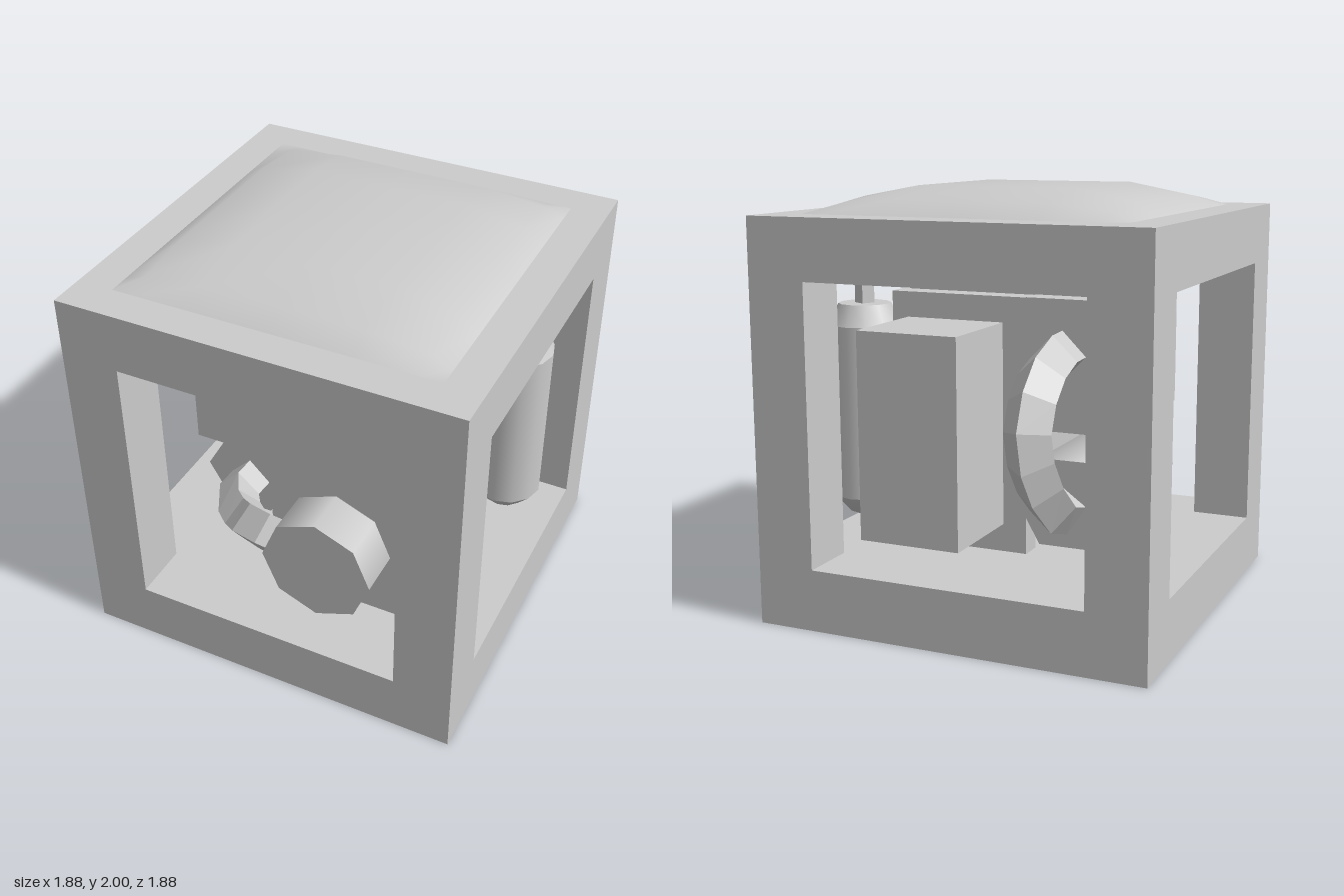
import * as THREE from 'three';

export function createModel() {
  const model = new THREE.Group();
  const smooth = new THREE.MeshStandardMaterial({ color: 0xcccccc });
  const flat = new THREE.MeshStandardMaterial({ color: 0xcccccc, flatShading: true });

  const add = (name, geometry, material = smooth, parent = model) => {
    const mesh = new THREE.Mesh(geometry, material);
    mesh.name = name;
    parent.add(mesh);
    return mesh;
  };

  // box given by its extents along each axis
  const box = (name, [x0, x1], [y0, y1], [z0, z1], parent = model) => {
    const g = new THREE.BoxGeometry(x1 - x0, y1 - y0, z1 - z0);
    g.translate((x0 + x1) / 2, (y0 + y1) / 2, (z0 + z1) / 2);
    return add(name, g, smooth, parent);
  };

  // drum lying along z
  const drum = (name, r, sides, x, y, z0, z1, turn) => {
    const g = new THREE.CylinderGeometry(r, r, z1 - z0, sides, 1, false, turn);
    g.rotateX(Math.PI / 2).translate(x, y, (z0 + z1) / 2);
    return add(name, g);
  };

  // four-sided hose through a few points
  const hose = (name, points, r, segments) => {
    const curve = new THREE.CatmullRomCurve3(points.map(p => new THREE.Vector3(...p)));
    return add(name, new THREE.TubeGeometry(curve, segments, r, 4), flat);
  };

  // open cubic frame: floor, ceiling and four square posts
  const frame = new THREE.Group();
  frame.name = 'frame';
  model.add(frame);
  const R = 0.94, W = 0.66;
  box('floor', [-R, R], [0, 0.29], [-R, R], frame);
  box('ceiling', [-R, R], [1.6, 1.88], [-R, R], frame);
  for (const x of [[-R, -W], [W, R]])
    for (const z of [[-R, -W], [W, R]]) box('post', x, [0.29, 1.6], z, frame);

  // pillow-shaped lid: the same rise profile along x and z
  const spots = [-0.765, -0.66, -0.38, 0, 0.38, 0.66, 0.765];
  const rise = [0, 0.56, 1, 1, 1, 0.56, 0];
  const lid = new THREE.PlaneGeometry(1, 1, 6, 6).rotateX(-Math.PI / 2);
  const p = lid.attributes.position;
  for (let i = 0; i < p.count; i++) {
    const c = i % 7, r = Math.floor(i / 7);
    p.setXYZ(i, spots[c], 1.881 + 0.119 * rise[c] * rise[r], spots[r]);
  }
  lid.computeVertexNormals();
  add('domedLid', lid);

  // boxed machinery inside
  box('mainBlock', [-0.09, 0.6], [0.405, 1.6], [-0.06, 0.66]);
  box('sideBlock', [-0.605, -0.185], [0.92, 1.52], [-0.45, 0.45]);
  box('sidePanel', [-0.63, -0.605], [1.07, 1.39], [0.165, 0.37]);
  box('mountingPlate', [-0.185, 0.49], [0.33, 1.518], [-0.448, -0.34]);
  box('rearBlock', [-0.07, 0.41], [0.46, 1.4], [-0.92, -0.448]);

  // drums
  drum('hexagonalDrum', 0.228, 6, -0.42, 0.63, -0.58, 0.31, Math.PI / 6);
  drum('frontDrum', 0.267, 8, 0.242, 0.75, 0.65, 0.88, 0);

  // hoses: drum to drum at the front, block to drum at the back
  hose('frontHose', [
    [-0.41, 0.62, 0.28], [-0.41, 0.62, 0.45], [-0.3, 0.63, 0.58],
    [-0.1, 0.75, 0.75], [0.08, 0.75, 0.77],
  ], 0.105, 6);
  hose('rearHose', [
    [-0.36, 1.27, -0.42], [-0.36, 1.25, -0.62], [-0.355, 1.13, -0.77], [-0.355, 0.96, -0.832],
    [-0.38, 0.78, -0.79], [-0.41, 0.64, -0.69], [-0.42, 0.6, -0.55],
  ], 0.112, 8);

  // upright tank hung from the ceiling by a rod
  const tankX = 0.7, tankZ = -0.345;
  const sections = [
    [[0, 0.38], [0.1, 0.425], [0.176, 0.51]],
    [[0.176, 0.51], [0.176, 1.34]],
    [[0.176, 1.34], [0.125, 1.44]],
    [[0.125, 1.44], [0, 1.44]],
  ];
  const tank = new THREE.Group();
  tank.name = 'tank';
  tank.position.set(tankX, 0, tankZ);
  model.add(tank);
  for (const s of sections)
    add('tankShell', new THREE.LatheGeometry(s.map(q => new THREE.Vector2(...q)), 12), smooth, tank);
  add('hangerRod', new THREE.CylinderGeometry(0.047, 0.047, 0.17, 4, 1, false, 0.3)
    .translate(0, 1.52, 0), flat, tank);

  return model;
}
